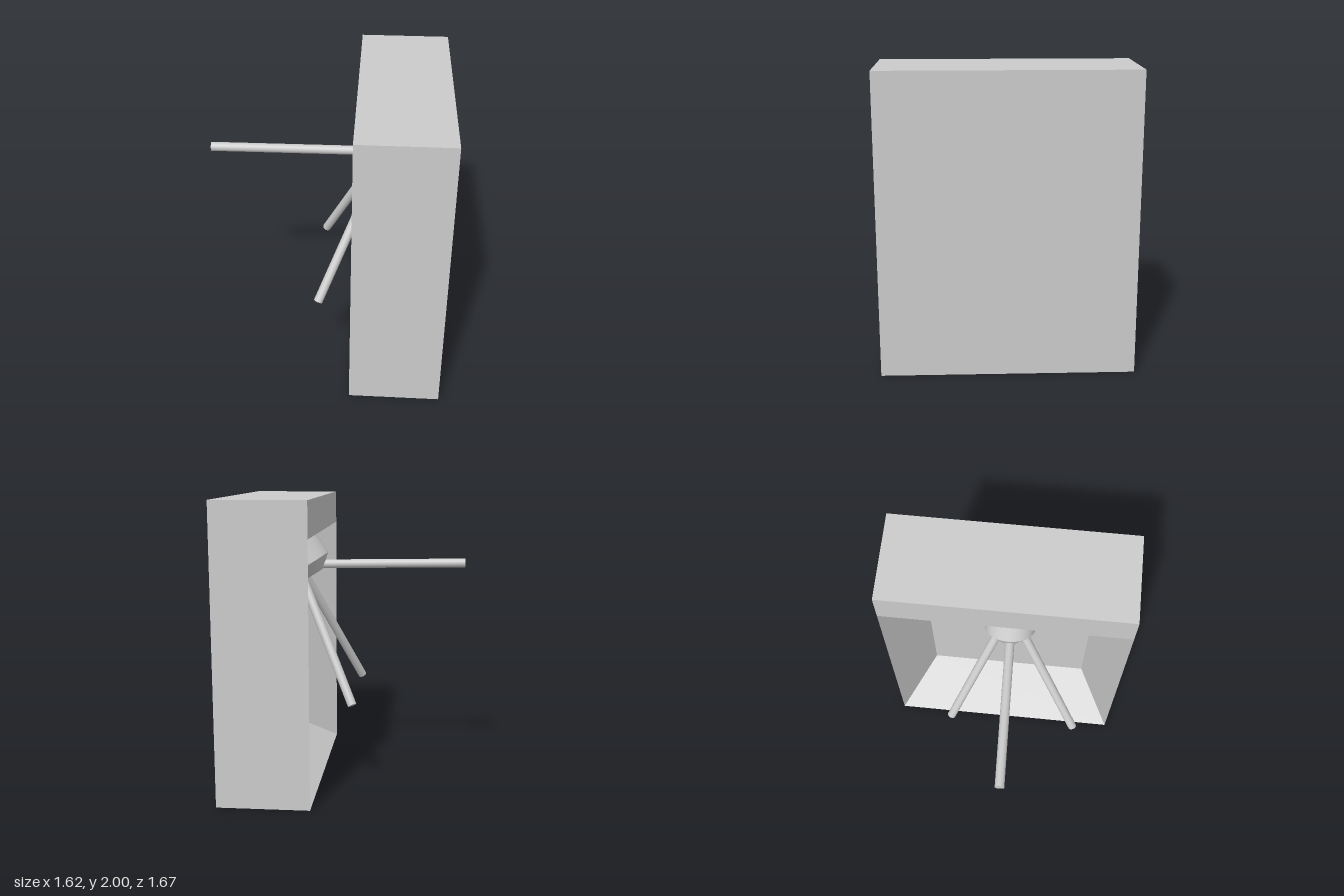
import * as THREE from 'three';

const material = new THREE.MeshStandardMaterial({ color: 0xcccccc });
const flatMaterial = new THREE.MeshStandardMaterial({ color: 0xcccccc, flatShading: true });

// Rectangular cross-section at x, counter-clockwise seen from -x
const section = (x, halfZ, y0, y1) =>
  [[-halfZ, y0], [halfZ, y0], [halfZ, y1], [-halfZ, y1]].map(([z, y]) => [x, y, z]);

// Housing: a box whose -x side sinks into a tapered recess below a lintel
function housingGeometry() {
  const sections = [
    section(0.81, 0.835, 0, 2),
    section(0.187, 0.835, 0, 2),
    section(0.187, 0.835, 0, 1.763),
    section(0.57, 0.595, 0.24, 1.523),
  ];
  const positions = [];
  const quad = (a, b, c, d) => positions.push(...a, ...b, ...c, ...a, ...c, ...d);
  for (let s = 1; s < sections.length; s++) {
    const p = sections[s - 1], n = sections[s];
    for (let i = 0; i < 4; i++) {
      if (s === 2 && i !== 2) continue; // only the lintel has a front face
      const j = (i + 1) % 4;
      quad(n[i], p[i], p[j], n[j]);
    }
  }
  quad(...sections[3]);
  quad(...[...sections[0]].reverse());
  const geometry = new THREE.BufferGeometry();
  geometry.setAttribute('position', new THREE.Float32BufferAttribute(positions, 3));
  geometry.computeVertexNormals();
  return geometry;
}

// Cylinder or cone frustum running between two points
function rod(name, from, to, r0, r1 = r0, segments = 32) {
  const dir = to.clone().sub(from);
  const mesh = new THREE.Mesh(new THREE.CylinderGeometry(r1, r0, dir.length(), segments), material);
  mesh.position.copy(from).addScaledVector(dir, 0.5);
  mesh.quaternion.setFromUnitVectors(new THREE.Vector3(0, 1, 0), dir.normalize());
  mesh.name = name;
  return mesh;
}

export function createModel() {
  const group = new THREE.Group();
  group.name = 'turnstile';

  const housing = new THREE.Mesh(housingGeometry(), flatMaterial);
  housing.name = 'housing';
  group.add(housing);

  // Hub standing square on the sloping recess ceiling
  const axis = new THREE.Vector3(-0.53, -0.85, 0).normalize();
  const rim = new THREE.Vector3(0.305, 1.51, 0.025);
  const along = (d) => rim.clone().addScaledVector(axis, d);
  group.add(rod('hub', along(-0.19), rim, 0.17));
  group.add(rod('hubCone', rim, along(0.08), 0.17, 0.08));

  // Three arms spreading from inside the hub
  const arms = [
    [[0.3, 1.514, 0.03], [-0.81, 1.528, 0.066]],
    [[0.36, 1.48, -0.02], [-0.048, 0.59, -0.38]],
    [[0.36, 1.48, 0.07], [-0.048, 0.59, 0.54]],
  ];
  arms.forEach(([from, to], i) =>
    group.add(rod(`arm${i + 1}`, new THREE.Vector3(...from), new THREE.Vector3(...to), 0.031, 0.031, 24)));

  return group;
}
